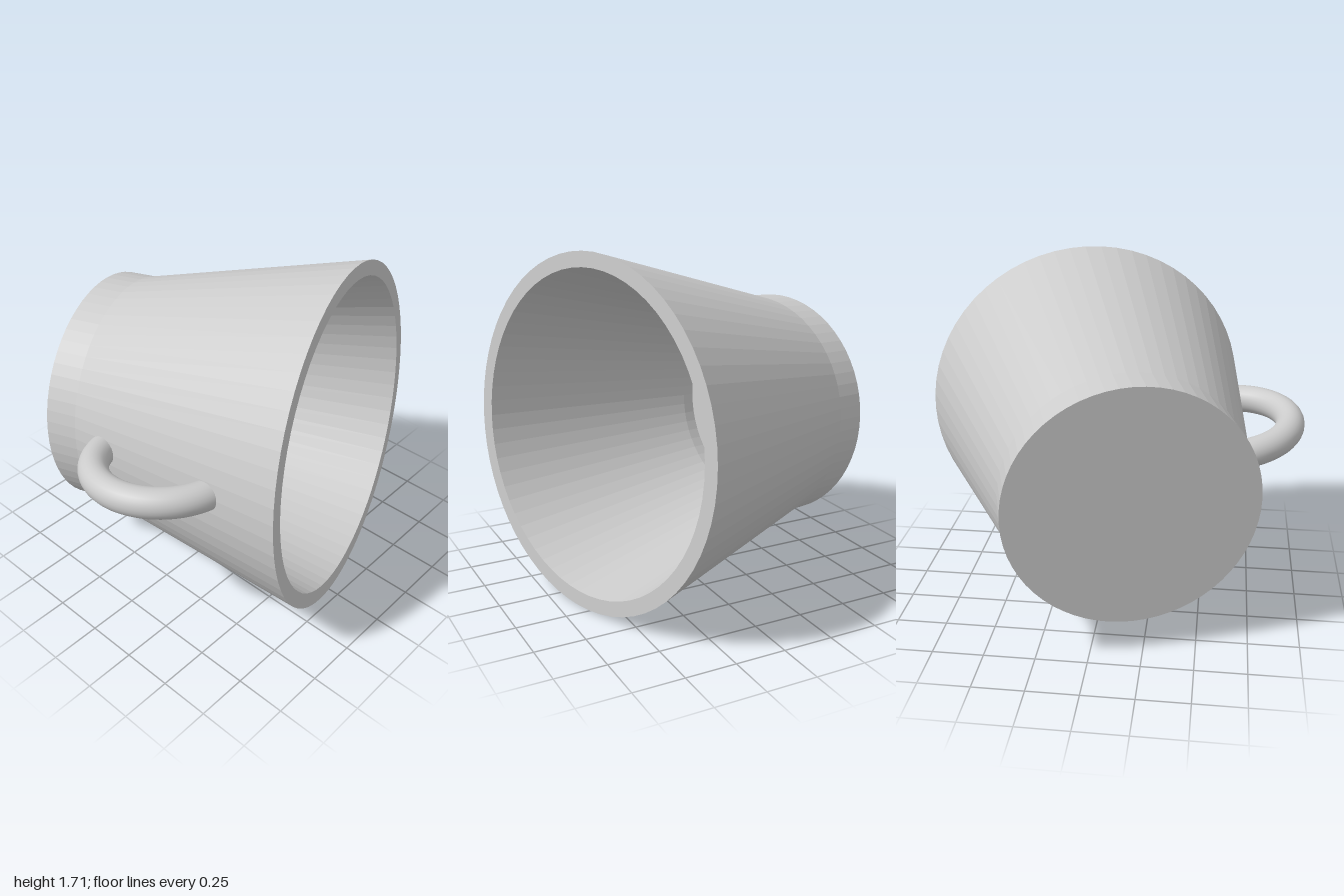
import * as THREE from 'three';

export function createModel() {
  const model = new THREE.Group();
  model.name = 'tippedCup';

  // Cup body: closed profile with a straight foot, flared wall and thick floor
  const profile = [
    [0, 0], [0.6, 0], [0.6, 0.163], [0.857, 1.325],
    [0.783, 1.325], [0.53, 0.17], [0.53, 0.1], [0, 0.1],
  ].map(([r, y]) => new THREE.Vector2(r, y));
  const body = new THREE.Mesh(
    new THREE.LatheGeometry(profile, 64),
    new THREE.MeshStandardMaterial({ color: 0xcccccc, flatShading: true })
  );
  body.name = 'cupBody';

  // Ring handle: its ends are buried in the wall
  const arc = THREE.MathUtils.degToRad(156);
  const handle = new THREE.Mesh(
    new THREE.TorusGeometry(0.33, 0.072, 24, 48, arc),
    new THREE.MeshStandardMaterial({ color: 0xcccccc })
  );
  handle.name = 'handle';
  handle.position.set(0.61, 0.666, 0);
  handle.rotation.z = -Math.PI / 2;

  // Lay the cup on its side: mouth along `axis`, handle towards `side`
  const cup = new THREE.Group();
  cup.name = 'cup';
  cup.add(body, handle);
  const axis = new THREE.Vector3(0.284, 0.065, 0.957).normalize();
  const side = new THREE.Vector3(-0.953, 0.122, 0.276);
  side.addScaledVector(axis, -side.dot(axis)).normalize();
  const third = new THREE.Vector3().crossVectors(side, axis);
  cup.quaternion.setFromRotationMatrix(new THREE.Matrix4().makeBasis(side, axis, third));
  cup.position.set(-0.202, 0.772, -0.672);
  model.add(cup);
  return model;
}
